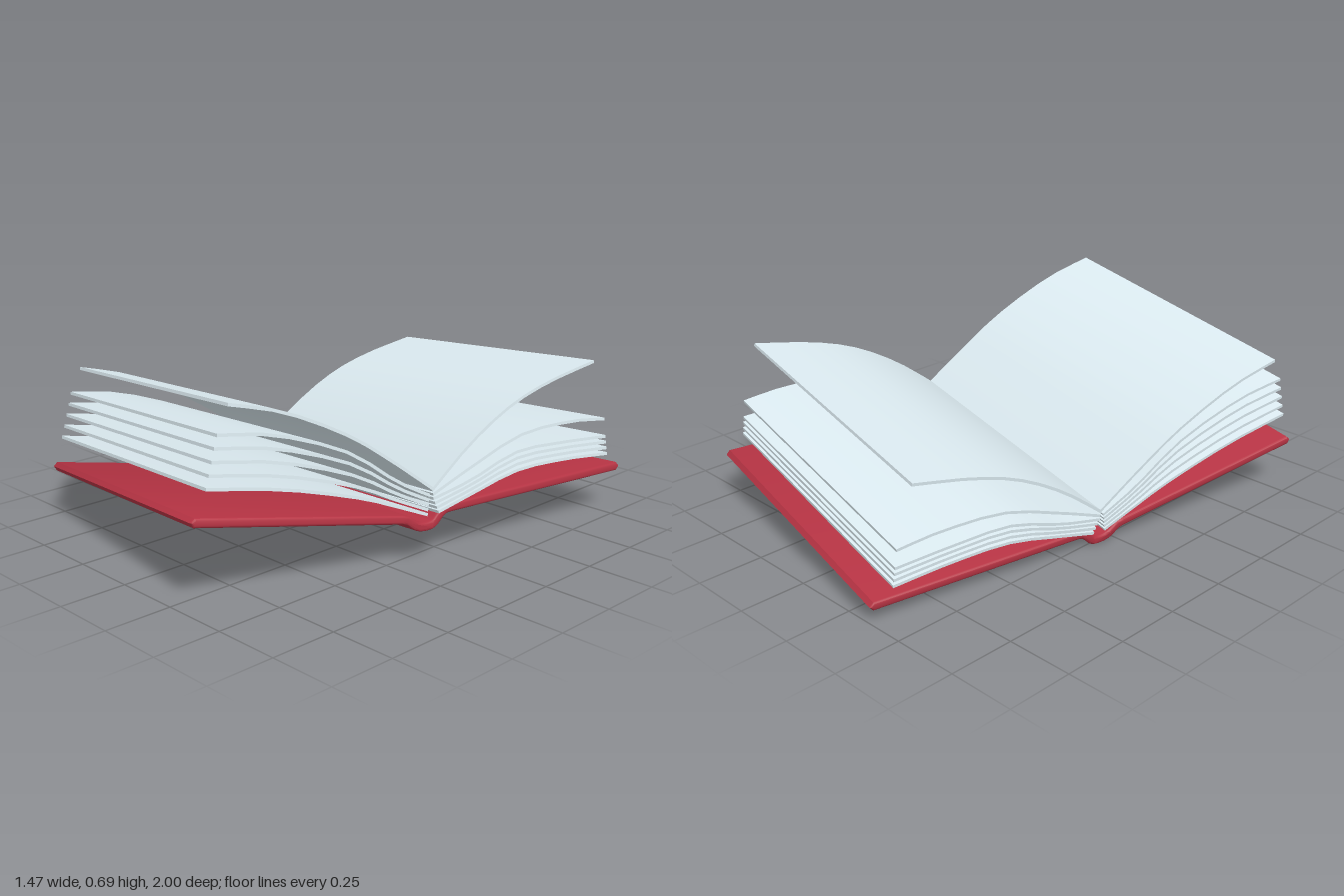
import * as THREE from 'three';
import { toCreasedNormals } from 'three/addons/utils/BufferGeometryUtils.js';

const coverMaterial = new THREE.MeshStandardMaterial({ color: 0xb53343 });
const pageMaterial = new THREE.MeshStandardMaterial({ color: 0xdcebf1 });

// Closed outline of a strip of even thickness that follows a centre line
function stripShape(line, half, tip = 0) {
  const a = [], b = [];
  line.forEach((p, i) => {
    const t = line[Math.min(i + 1, line.length - 1)].clone().sub(line[Math.max(i - 1, 0)]).normalize();
    const n = new THREE.Vector2(-t.y, t.x).multiplyScalar(half);
    a.push(p.clone().add(n));
    b.push(p.clone().sub(n));
    if (tip && i === line.length - 1) a.push(p.clone().addScaledVector(t, tip));
    if (tip && i === 0) b.unshift(p.clone().addScaledVector(t, -tip));
  });
  return new THREE.Shape([...a, ...b.reverse()]);
}

// Section points are [distance toward the front, height]; the front is -x in the section
const toSection = ([w, v]) => new THREE.Vector2(-w, v);

function page(points, name) {
  const line = new THREE.SplineCurve(points.map(toSection)).getPoints(10);
  const geo = new THREE.ExtrudeGeometry(stripShape(line, 0.0055), { depth: 1.15, bevelEnabled: false });
  geo.translate(0, 0, -0.537);
  const mesh = new THREE.Mesh(toCreasedNormals(geo, 0.6), pageMaterial);
  mesh.name = name;
  return mesh;
}

// Stack of pages blended between an upper and a lower page curve
function pageStack(upper, lower, count, name) {
  const stack = new THREE.Group();
  stack.name = name;
  for (let i = 0; i < count; i++) {
    const t = i / (count - 1);
    const points = upper.map((p, k) => p.map((c, j) => THREE.MathUtils.lerp(c, lower[k][j], t)));
    stack.add(page(points, name + 'Sheet' + (i + 1)));
  }
  return stack;
}

function cover() {
  // Front board, curved spine, back board
  const spine = new THREE.SplineCurve([
    [0.125, 0.115], [0.098, 0.106], [0.07, 0.084], [0.045, 0.074], [0.015, 0.072],
    [-0.012, 0.078], [-0.038, 0.102], [-0.065, 0.117], [-0.1, 0.119],
  ].map(toSection)).getPoints(20);
  const line = [toSection([0.898, 0.259]), ...spine, toSection([-0.905, 0.119])];
  const bevel = 0.009;
  const geo = new THREE.ExtrudeGeometry(stripShape(line, 0.007, 0.006), {
    depth: 1.13 - 2 * bevel, bevelThickness: bevel, bevelSize: bevel, bevelSegments: 3,
  });
  geo.translate(0, 0, -0.528 + bevel);
  // The front board sits slightly askew
  const pos = geo.attributes.position;
  for (let i = 0; i < pos.count; i++) {
    const w = -pos.getX(i);
    if (w > 0.1) pos.setZ(i, pos.getZ(i) - 0.032 * (w - 0.1) / 0.8);
  }
  const mesh = new THREE.Mesh(toCreasedNormals(geo, 0.6), coverMaterial);
  mesh.name = 'cover';
  return mesh;
}

export function createModel() {
  const book = new THREE.Group();
  book.name = 'openBook';
  book.add(cover());

  // Pages turned to the front
  book.add(page([[0.0, 0.205], [0.174, 0.338], [0.343, 0.453], [0.575, 0.565], [0.777, 0.622]], 'frontLoosePage'));
  book.add(pageStack(
    [[0.015, 0.185], [0.153, 0.261], [0.348, 0.397], [0.614, 0.498], [0.824, 0.533]],
    [[0.028, 0.118], [0.151, 0.17], [0.315, 0.235], [0.6, 0.318], [0.876, 0.371]], 5, 'frontPages'));

  // Pages turned to the back
  book.add(page([[0.004, 0.2], [-0.171, 0.332], [-0.359, 0.437], [-0.549, 0.5], [-0.785, 0.546]], 'backLoosePage'));
  book.add(page([[0.0, 0.185], [-0.173, 0.25], [-0.415, 0.328], [-0.661, 0.337], [-0.836, 0.318]], 'backRaisedPage'));
  book.add(pageStack(
    [[0.0, 0.17], [-0.173, 0.205], [-0.39, 0.268], [-0.62, 0.265], [-0.84, 0.25]],
    [[-0.02, 0.118], [-0.173, 0.154], [-0.39, 0.2], [-0.62, 0.2], [-0.845, 0.182]], 4, 'backPages'));

  // Tilted resting pose: section x runs backward, section z runs along the spine
  const along = new THREE.Vector3(0.979, 0.104, 0.174).normalize();
  const back = new THREE.Vector3(along.z, 0, -along.x).normalize();
  const up = new THREE.Vector3().crossVectors(along, back);
  book.quaternion.setFromRotationMatrix(new THREE.Matrix4().makeBasis(back, up, along));

  const model = new THREE.Group();
  model.name = 'book';
  model.add(book);
  return model;
}
